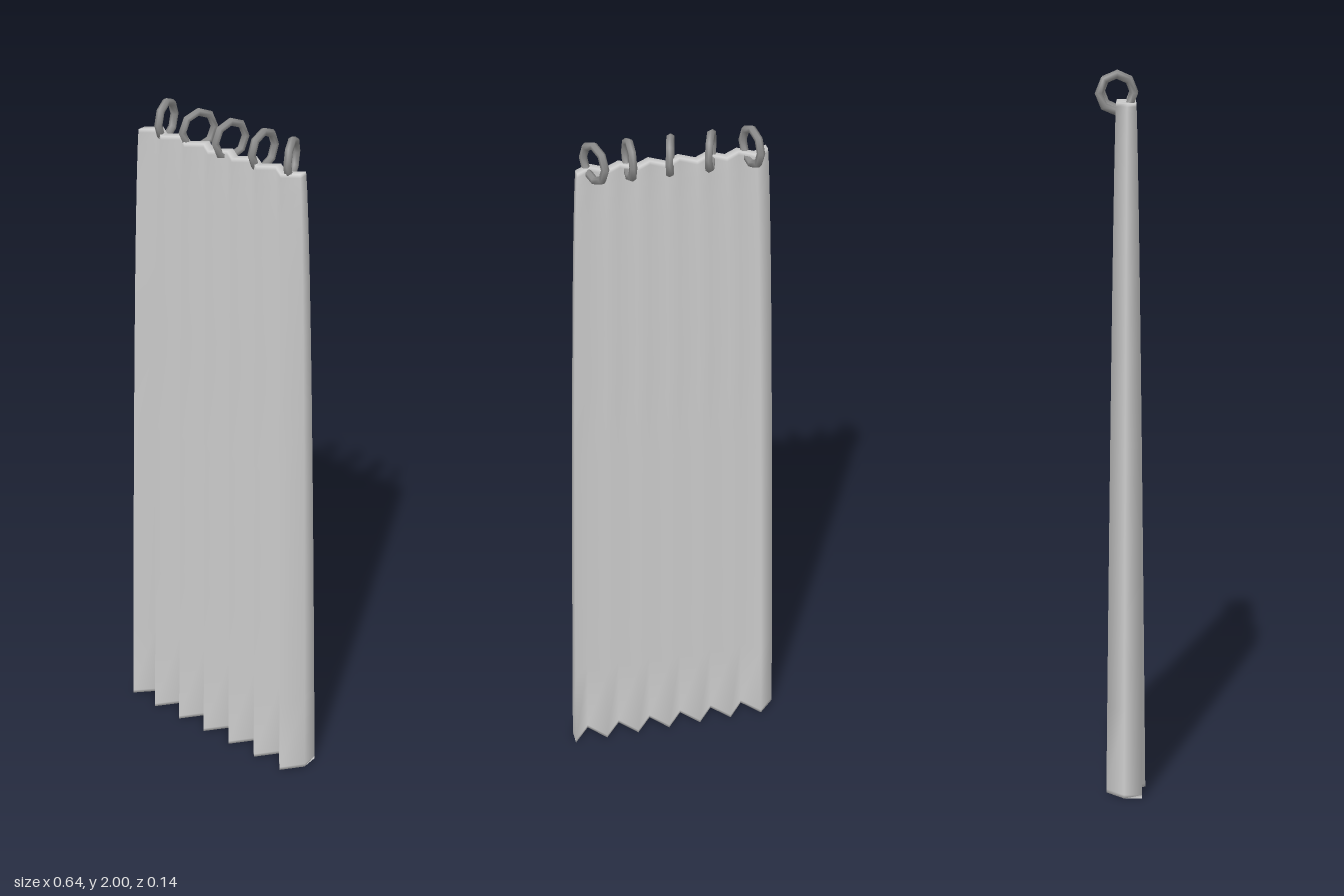
import * as THREE from 'three';

const HEIGHT = 1.915;   // top of the cloth
const FOLDS = 13;       // slanted panels across the width

// Pleated cloth: a zigzag cross-section that spreads from the top to the hem
function clothGeometry() {
  const heights = [0, 0.01, 0.25, 0.5, 0.75, 1, 1.25, 1.45, 1.62, 1.76, 1.86, 1.905, HEIGHT];
  const n = FOLDS + 1, loop = 2 * n;
  const positions = [], index = [];

  for (const y of heights) {
    const spread = Math.pow(1 - y / HEIGHT, 0.75);
    const halfWidth = 0.26 + 0.06 * spread;
    const amplitude = 0.015 + 0.015 * spread;
    const halfThick = 0.0125 + 0.0125 * spread;
    for (let k = 0; k < loop; k++) {
      const front = k < n;
      const i = front ? k : loop - 1 - k;
      const x = halfWidth * (2 * i / FOLDS - 1);
      let z = 0.016 + (i % 2 ? -amplitude : amplitude);
      if (i === 0) z -= 0.01 * spread;
      positions.push(x, y, z + (front ? halfThick : -halfThick));
    }
  }

  // Outer walls
  for (let j = 0; j < heights.length - 1; j++) {
    for (let k = 0; k < loop; k++) {
      const a = j * loop + k, b = j * loop + (k + 1) % loop;
      index.push(a, b, b + loop, a, b + loop, a + loop);
    }
  }
  // Hem and top edge
  const top = (heights.length - 1) * loop;
  for (let i = 0; i < FOLDS; i++) {
    const f = i, g = i + 1, b = loop - 1 - i, c = loop - 2 - i;
    index.push(f, b, c, f, c, g);
    index.push(top + f, top + c, top + b, top + f, top + g, top + c);
  }

  const geometry = new THREE.BufferGeometry();
  geometry.setAttribute('position', new THREE.Float32BufferAttribute(positions, 3));
  geometry.setIndex(index);
  geometry.computeVertexNormals();
  return geometry;
}

export function createModel() {
  const model = new THREE.Group();
  model.name = 'curtain';

  const clothMaterial = new THREE.MeshStandardMaterial({ color: 0xcccccc });
  clothMaterial.name = 'light grey cloth';
  const ringMaterial = new THREE.MeshStandardMaterial({ color: 0x8c8c8c });
  ringMaterial.name = 'grey metal';

  const cloth = new THREE.Mesh(clothGeometry(), clothMaterial);
  cloth.name = 'pleatedCloth';
  model.add(cloth);

  // Hanging rings, each [x, sideways lean towards the front]
  const rings = new THREE.Group();
  rings.name = 'hangingRings';
  const ringGeometry = new THREE.TorusGeometry(0.049, 0.011, 6, 8);
  const placements = [[-0.207, 0.25], [-0.096, -0.38], [0.013, -0.28], [0.122, 0], [0.215, 0.44]];
  placements.forEach(([x, lean], i) => {
    const ring = new THREE.Mesh(ringGeometry, ringMaterial);
    ring.name = `ring${i + 1}`;
    ring.position.set(x, 1.94, -0.01);
    ring.rotation.y = Math.atan(lean) - Math.PI / 2;
    rings.add(ring);
  });
  model.add(rings);

  return model;
}
